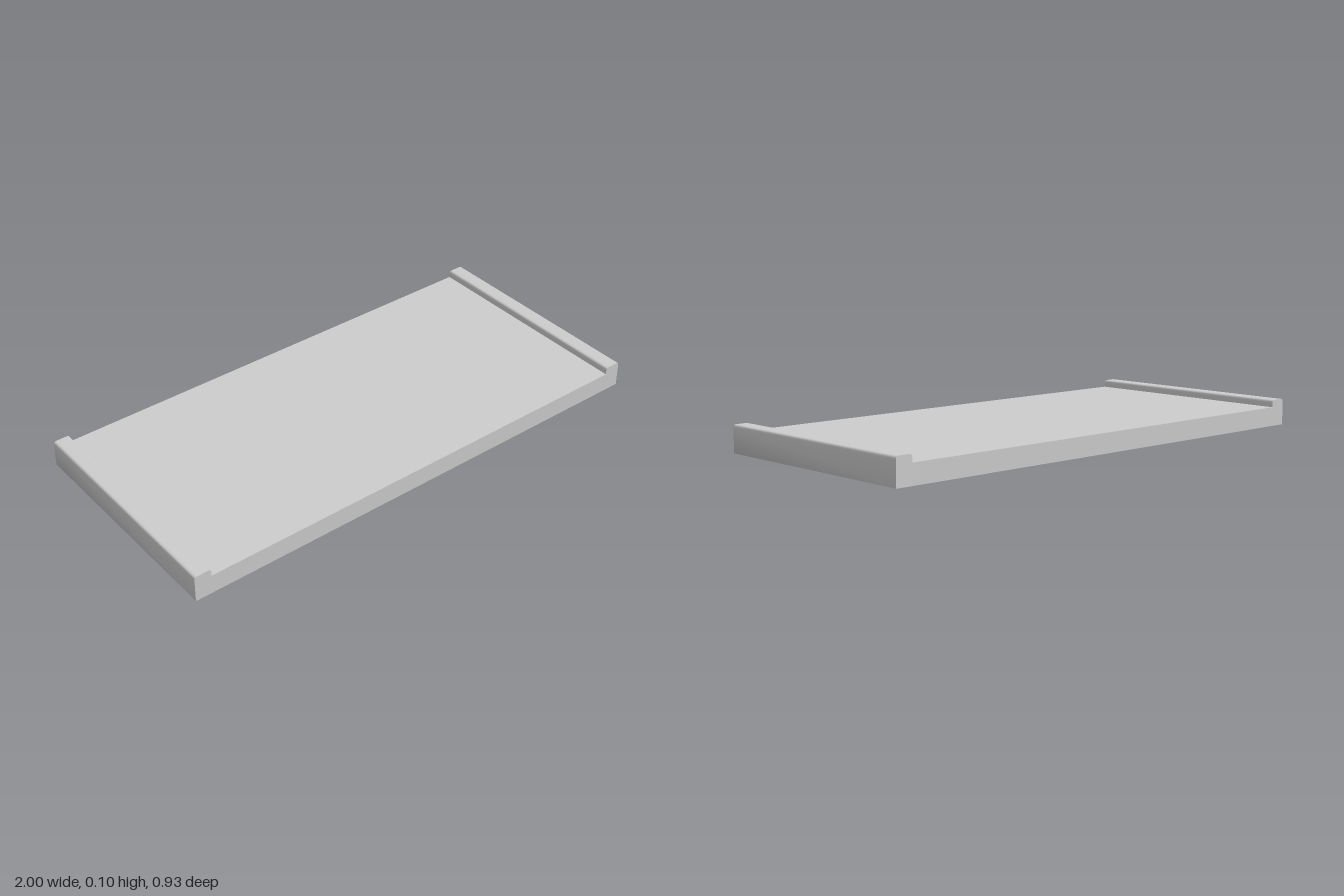
import * as THREE from 'three';
import { mergeGeometries } from 'three/addons/utils/BufferGeometryUtils.js';

const DEPTH = 0.926;
const INNER = 0.933;
const RIM_TOP = 0.105;
const DECK_TOP = 0.076;

// Bar along z: softly shaded walls around a profile, flat caps at both ends
function bar(shape, depth) {
  const pts = shape.getPoints(4);
  if (pts[0].distanceTo(pts[pts.length - 1]) < 1e-6) pts.pop();
  const n = pts.length, h = depth / 2;
  const positions = [], uvs = [], index = [];
  pts.forEach((p, i) => {
    positions.push(p.x, p.y, h, p.x, p.y, -h);
    uvs.push(i / n, 0, i / n, 1);
    const a = 2 * i, b = 2 * ((i + 1) % n);
    index.push(a, a + 1, b, b, a + 1, b + 1);
  });
  const walls = new THREE.BufferGeometry();
  walls.setAttribute('position', new THREE.Float32BufferAttribute(positions, 3));
  walls.setAttribute('uv', new THREE.Float32BufferAttribute(uvs, 2));
  walls.setIndex(index);
  walls.computeVertexNormals();

  // The profile is symmetric about x = 0, so the back cap is the front one turned round
  const front = new THREE.ShapeGeometry(shape, 4).translate(0, 0, h);
  const back = front.clone().rotateY(Math.PI);
  return mergeGeometries([walls, front, back]);
}

// Rim profile: square at the bottom, rounded at the top corners
function rimShape(width, height, r) {
  const w = width / 2;
  const s = new THREE.Shape();
  s.moveTo(-w, 0);
  s.lineTo(w, 0);
  s.lineTo(w, height - r);
  s.quadraticCurveTo(w, height, w - r, height);
  s.lineTo(-w + r, height);
  s.quadraticCurveTo(-w, height, -w, height - r);
  s.closePath();
  return s;
}

export function createModel() {
  const model = new THREE.Group();
  model.name = 'tray';
  const grey = new THREE.MeshStandardMaterial({ color: 0xcccccc });

  // Flat deck between the rims
  const deck = new THREE.Mesh(new THREE.BoxGeometry(2 * INNER, DECK_TOP, DEPTH), grey);
  deck.name = 'deck';
  deck.position.y = DECK_TOP / 2;
  model.add(deck);

  // Raised rim at each end
  const rimGeometry = bar(rimShape(1 - INNER, RIM_TOP, 0.012), DEPTH);
  for (const side of [1, -1]) {
    const rim = new THREE.Mesh(rimGeometry, grey);
    rim.name = side > 0 ? 'leftRim' : 'rightRim';
    rim.position.x = side * (1 + INNER) / 2;
    model.add(rim);
  }
  return model;
}
